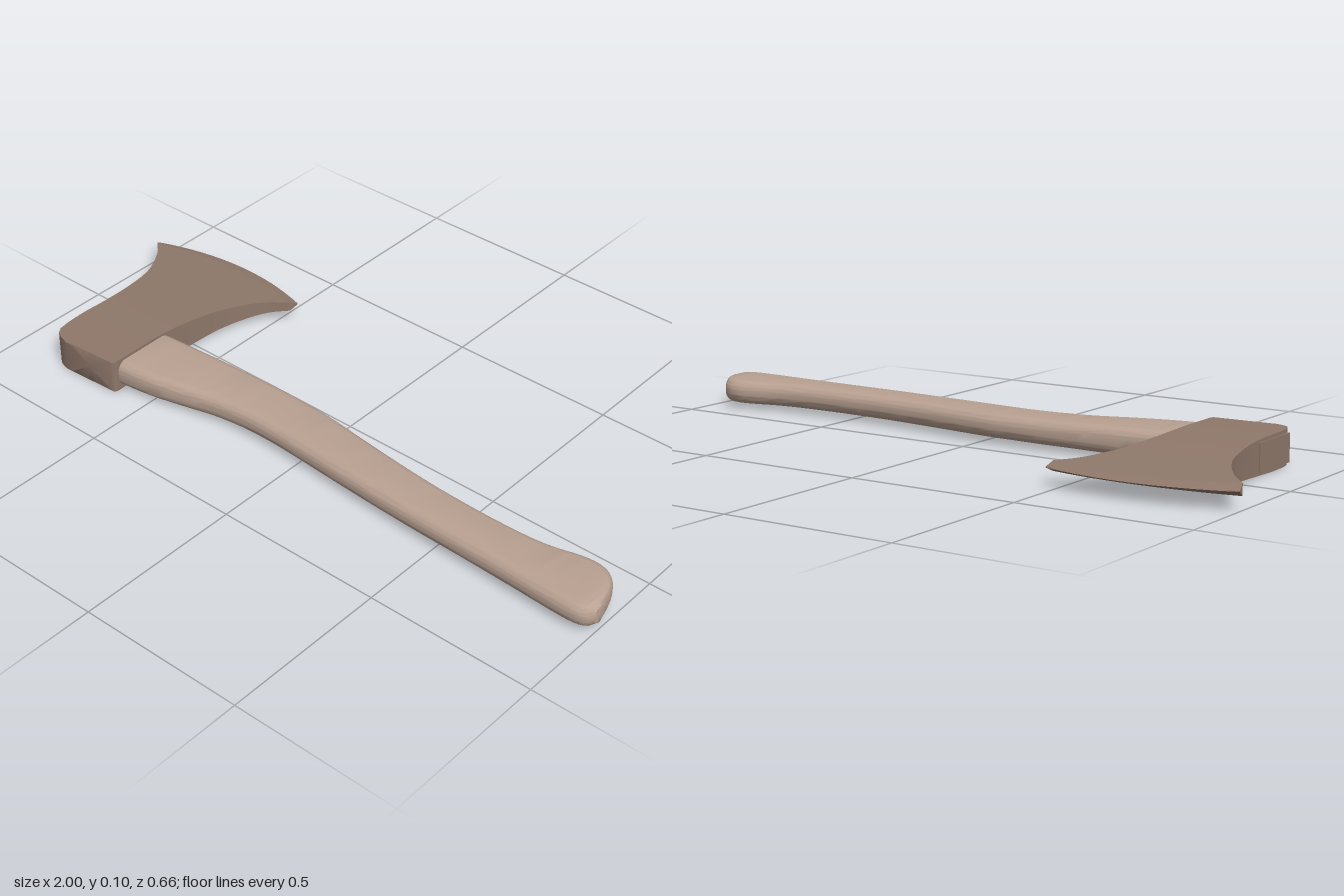
import * as THREE from 'three';
import { toCreasedNormals } from 'three/addons/utils/BufferGeometryUtils.js';

const MID = 0.051; // height of the plane the axe is symmetric about

// Skin a list of equal-length closed rings and cap both ends
function loft(rings, crease) {
  const n = rings[0].length, pos = [], idx = [];
  rings.forEach(r => r.forEach(p => pos.push(...p)));
  for (let i = 0; i < rings.length - 1; i++) {
    for (let j = 0; j < n; j++) {
      const k = (j + 1) % n;
      const a = i * n + j, b = i * n + k, c = a + n, d = b + n;
      idx.push(a, b, c, b, d, c);
    }
  }
  [0, rings.length - 1].forEach((row, end) => {
    const centre = pos.length / 3;
    for (let q = 0; q < 3; q++) pos.push(rings[row].reduce((s, p) => s + p[q], 0) / n);
    for (let j = 0; j < n; j++) {
      const a = row * n + j, b = row * n + (j + 1) % n;
      idx.push(centre, ...(end ? [a, b] : [b, a]));
    }
  });
  const g = new THREE.BufferGeometry();
  g.setAttribute('position', new THREE.Float32BufferAttribute(pos, 3));
  g.setIndex(idx);
  return toCreasedNormals(g, crease);
}

const spline = pts => new THREE.SplineCurve(pts.map(p => new THREE.Vector2(p[0], p[1])));

// Head thickness tapers from the poll to the blade
function halfThickness(z) {
  const t = Math.max(0, 0.2 - z);
  return 0.05 - 0.115 * (Math.hypot(t, 0.2) - 0.2);
}

// Head: rows run from poll to cutting edge, the later ones bowing outwards
function headGeometry() {
  const left = spline([[-0.79, 0.325], [-0.833, 0.308], [-0.85, 0.265], [-0.854, 0.19], [-0.854, 0.107],
    [-0.864, 0], [-0.89, -0.107], [-0.944, -0.198], [-0.995, -0.25]]);
  const right = spline([[-0.615, 0.314], [-0.607, 0.304], [-0.607, 0.265], [-0.607, 0.19], [-0.606, 0.107],
    [-0.596, 0], [-0.575, -0.107], [-0.527, -0.214], [-0.47, -0.274]]);
  const rings = [], cols = 16, steps = 40;
  const addRing = (l, r, bow, height) => {
    const top = [], bottom = [];
    for (let c = 0; c <= cols; c++) {
      const u = c / cols;
      const x = l.x + (r.x - l.x) * u;
      const z = l.y + (r.y - l.y) * u - bow * (1 - (2 * u - 1) ** 2);
      const h = height ?? halfThickness(z);
      top.push([x, MID + h, z]);
      bottom.unshift([x, MID - h, z]);
    }
    rings.push([...top, ...bottom]);
  };
  for (let i = 0; i <= steps; i++) {
    const t = i / steps;
    addRing(left.getPoint(t), right.getPoint(t), 0.047 * THREE.MathUtils.smoothstep(t, 0.6, 1), i ? undefined : 0.047);
  }
  // Sharpened bevel
  addRing(new THREE.Vector2(-1, -0.274), new THREE.Vector2(-0.463, -0.3), 0.047, 0.001);
  return loft(rings, 0.6);
}

// Handle: rounded sections between a back and a front outline
function handleGeometry() {
  // x, back z, front z, half thickness
  const stations = [
    [-0.7, 0.098, 0.3, 0.041], [-0.6, 0.09, 0.296, 0.041], [-0.5, 0.082, 0.284, 0.04], [-0.4, 0.075, 0.262, 0.039],
    [-0.3, 0.069, 0.239, 0.037], [-0.2, 0.065, 0.227, 0.036], [-0.1, 0.065, 0.226, 0.035], [0, 0.071, 0.231, 0.035],
    [0.2, 0.095, 0.245, 0.035], [0.4, 0.114, 0.256, 0.035], [0.6, 0.12, 0.262, 0.035], [0.75, 0.113, 0.268, 0.035],
    [0.85, 0.09, 0.273, 0.035], [0.9, 0.085, 0.275, 0.035], [0.94, 0.096, 0.275, 0.035], [0.97, 0.125, 0.27, 0.035],
    [0.988, 0.165, 0.259, 0.033], [1, 0.21, 0.24, 0.026]];
  const back = spline(stations.map(s => [s[0], s[1]]));
  const front = spline(stations.map(s => [s[0], s[2]]));
  const thick = spline(stations.map(s => [s[0], s[3]]));
  const rings = [], steps = 68, sides = 40;
  for (let i = 0; i <= steps; i++) {
    const t = i / steps, b = back.getPoint(t), f = front.getPoint(t), h = thick.getPoint(t).y;
    const half = (f.y - b.y) / 2, mid = (f.y + b.y) / 2;
    const r = Math.min(0.031, half, h);
    const ring = [];
    for (let j = 0; j < sides; j++) {
      const a = (j + 0.5) / sides * Math.PI * 2, cz = -Math.cos(a), sy = Math.sin(a);
      ring.push([b.x, MID + Math.sign(sy) * (h - r) + sy * r, mid + Math.sign(cz) * (half - r) + cz * r]);
    }
    rings.push(ring);
  }
  return loft(rings, 0.9);
}

export function createModel() {
  const group = new THREE.Group();
  const headBrown = new THREE.MeshStandardMaterial({ color: 0x8f786b });
  headBrown.name = 'headBrown';
  const handleTan = new THREE.MeshStandardMaterial({ color: 0xb9a192 });
  handleTan.name = 'handleTan';

  const add = (name, geometry, material) => {
    const mesh = new THREE.Mesh(geometry, material);
    mesh.name = name;
    group.add(mesh);
    return mesh;
  };
  add('head', headGeometry(), headBrown);
  add('handle', handleGeometry(), handleTan);
  // Plate closing the far side of the eye
  add('eyePlate', new THREE.BoxGeometry(0.009, 0.08, 0.17), headBrown).position.set(-0.853, MID, 0.195);
  return group;
}
